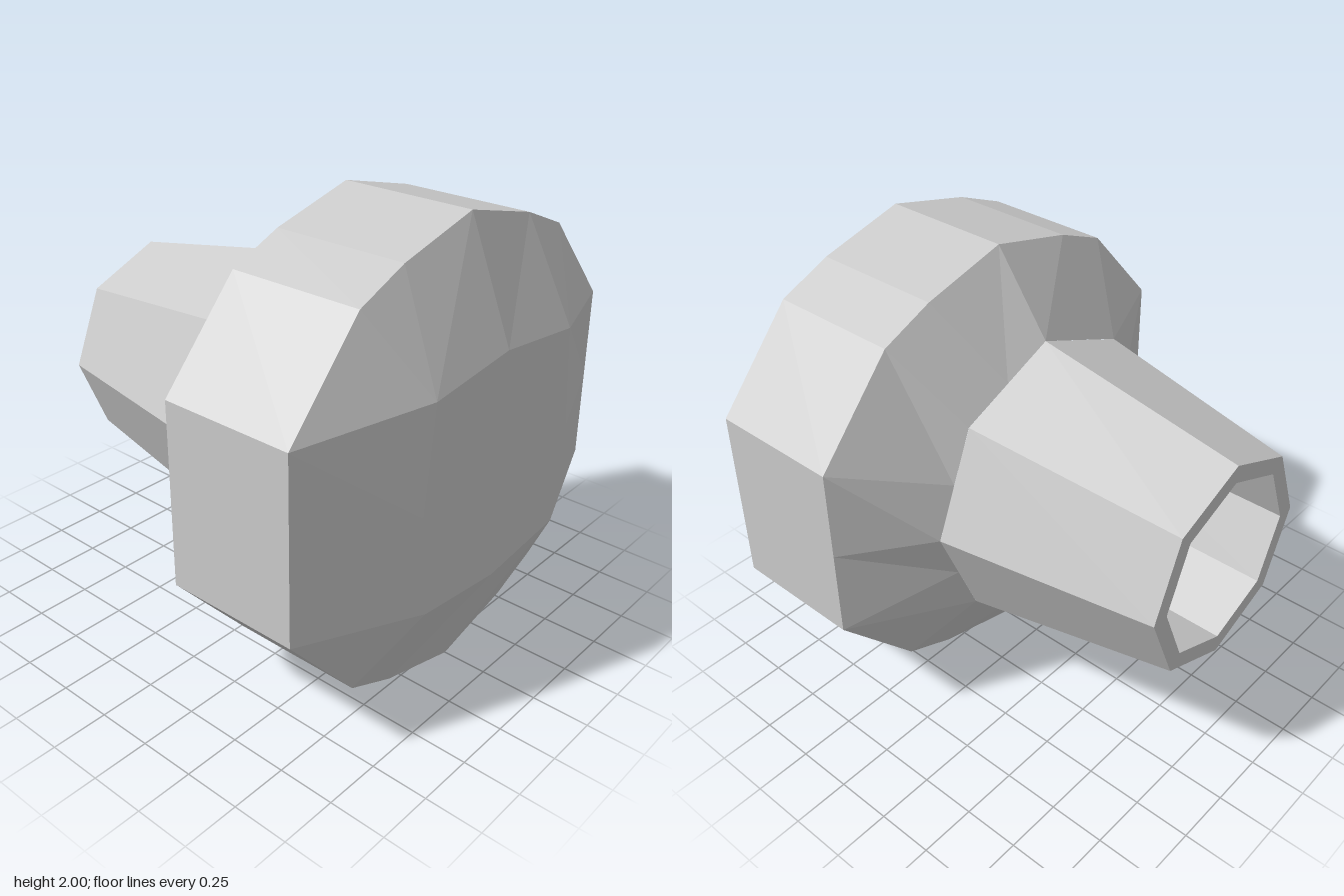
import * as THREE from 'three';

const material = new THREE.MeshStandardMaterial({ color: 0xcccccc, flatShading: true });

// Mirror a top-to-side quarter outline into a full closed ring (clockwise from the front).
function ring(quarter, z) {
  const half = [...quarter, ...quarter.slice(0, -1).reverse().map(([x, y]) => [x, -y])];
  const full = [...half, ...half.slice(1, -1).reverse().map(([x, y]) => [-x, y])];
  return full.map(([x, y]) => new THREE.Vector3(x, y + 1, z));
}

// Skin rings ordered along the outside surface, skipping collapsed triangles.
function loft(name, rings) {
  const points = [];
  const tri = new THREE.Triangle();
  const add = (a, b, c) => {
    if (tri.set(a, b, c).getArea() > 1e-6) points.push(a, b, c);
  };
  for (let r = 0; r < rings.length - 1; r++) {
    const p = rings[r], q = rings[r + 1], n = p.length;
    for (let i = 0; i < n; i++) {
      const j = (i + 1) % n;
      add(p[i], q[j], p[j]);
      add(p[i], q[i], q[j]);
    }
  }
  // reverse winding so that faces look outwards
  for (let i = 0; i < points.length; i += 3) {
    [points[i + 1], points[i + 2]] = [points[i + 2], points[i + 1]];
  }
  const geometry = new THREE.BufferGeometry().setFromPoints(points);
  geometry.computeVertexNormals();
  const mesh = new THREE.Mesh(geometry, material);
  mesh.name = name;
  return mesh;
}

// Octagon quarter with a corner on each axis
const octagon = (r) => [[0, r], [r * Math.SQRT1_2, r * Math.SQRT1_2], [r, 0]];

export function createModel() {
  const group = new THREE.Group();
  group.name = 'facetedKnob';

  // Knob head: flat front, chamfer, straight band, shoulder down to the neck
  const rim = [[0, 1], [0.4, 0.9], [0.64, 0.8], [1, 0.4], [1, 0]];
  const face = [[0, 0.5], [0.45, 0.45], [0.45, 0.45], [0.45, 0.45], [0.5, 0]];
  const neck = [[0, 0.65], [0.23, 0.555], [0.46, 0.46], [0.555, 0.23], [0.65, 0]];
  const centre = rim.map(() => [0, 0]);
  group.add(loft('head', [
    ring(centre, 1), ring(face, 1), ring(rim, 0.8), ring(rim, 0.2), ring(neck, -0.05),
  ]));

  // Tapered octagonal stem with a deep socket in its end
  group.add(loft('stem', [
    ring(octagon(0.65), -0.05), ring(octagon(0.48), -1), ring(octagon(0.4), -1),
    ring(octagon(0.4), -0.05), ring(octagon(0), -0.05),
  ]));

  return group;
}
